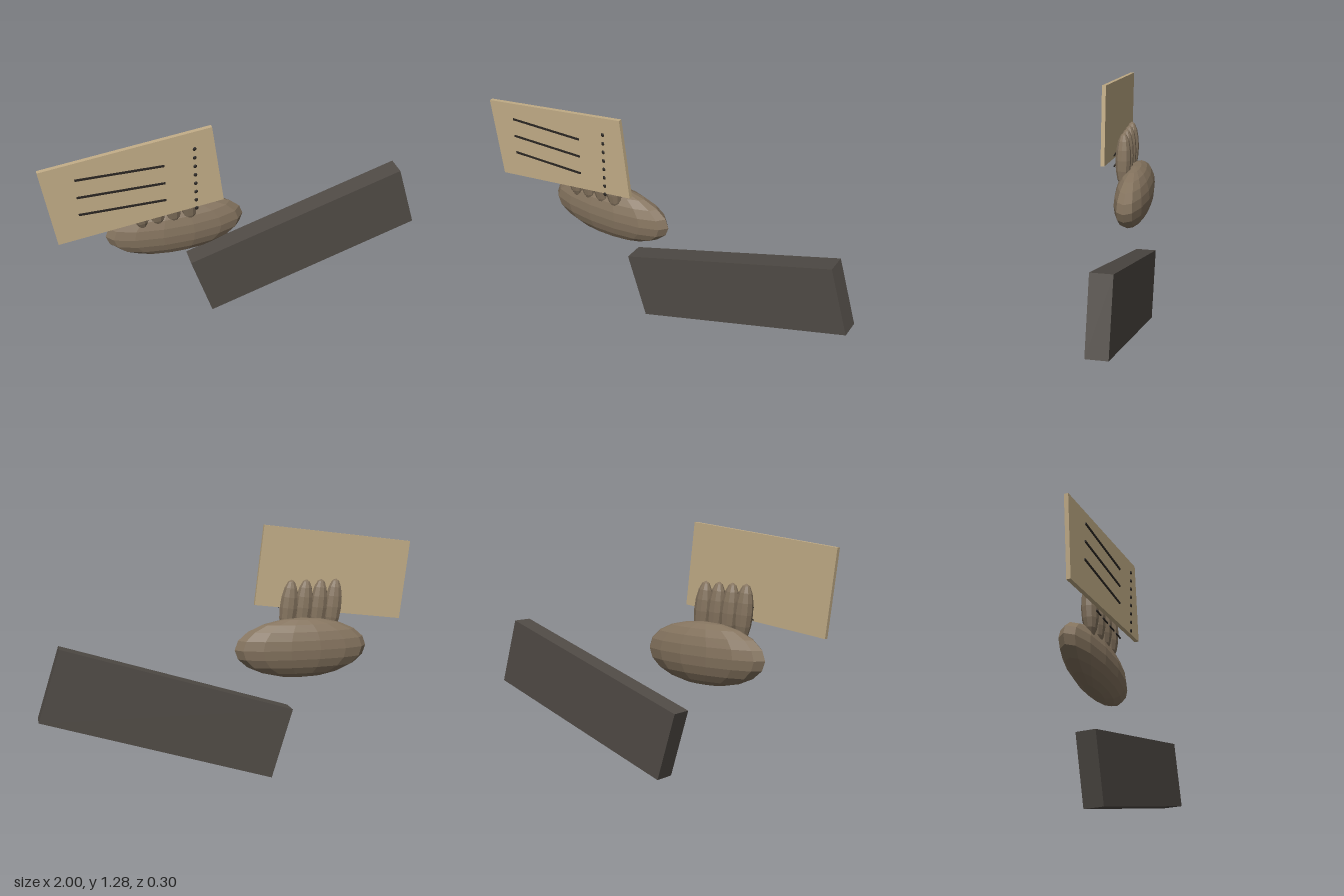
import * as THREE from 'three';

const mat = (name, color, flatShading = false) => {
  const m = new THREE.MeshStandardMaterial({ color, flatShading });
  m.name = name;
  return m;
};

export function createModel() {
  const sleeve = mat('sleeve charcoal', 0x504b46);
  const skin = mat('skin brown', 0x85745f, true);
  const paper = mat('paper tan', 0xc2ad87);
  const ink = mat('ink black', 0x2a2622);

  const model = new THREE.Group();
  model.name = 'handHoldingCard';

  const add = (name, geometry, material, x, y, z, tilt = 0) => {
    const mesh = new THREE.Mesh(geometry, material);
    mesh.name = name;
    mesh.position.set(x, y, z);
    mesh.rotation.z = tilt;
    model.add(mesh);
    return mesh;
  };
  const ellipsoid = (rx, ry, rz, w, h) => new THREE.SphereGeometry(1, w, h).scale(rx, ry, rz);

  // Slanted sleeve
  add('sleeve', new THREE.BoxGeometry(1.22, 0.372, 0.106), sleeve, 0.3625, 0.3605, -0.095, 0.3);

  // Faceted palm
  add('palm', ellipsoid(0.355, 0.157, 0.096, 14, 10), skin, -0.355, 0.653, -0.016);

  // Four fingers, each with two crease lines
  const fingerGeo = ellipsoid(0.048, 0.147, 0.042, 10, 8);
  const creaseGeo = new THREE.BoxGeometry(0.055, 0.006, 0.006);
  for (let i = 0; i < 4; i++) {
    const x = -0.543 + i * 0.0805;
    add('finger', fingerGeo, skin, x, 0.856, 0.039, 0.11);
    for (const y of [0.825, 0.885]) add('fingerCrease', creaseGeo, ink, x, y, 0.084);
  }

  // Tilted card
  add('card', new THREE.BoxGeometry(0.818, 0.42, 0.021), paper, -0.569, 1.025, 0.1185, 0.12);

  // Ruled lines and a column of dots in front of the card
  const lineGeo = new THREE.BoxGeometry(0.416, 0.01, 0.005);
  for (let i = 0; i < 3; i++) add('cardLine', lineGeo, ink, -0.632, 1.123 - i * 0.0965, 0.143);
  const dotGeo = ellipsoid(0.009, 0.01, 0.0045, 8, 6);
  for (let i = 0; i < 8; i++) add('cardDot', dotGeo, ink, -0.278, 1.189 - i * 0.048, 0.143);

  return model;
}
